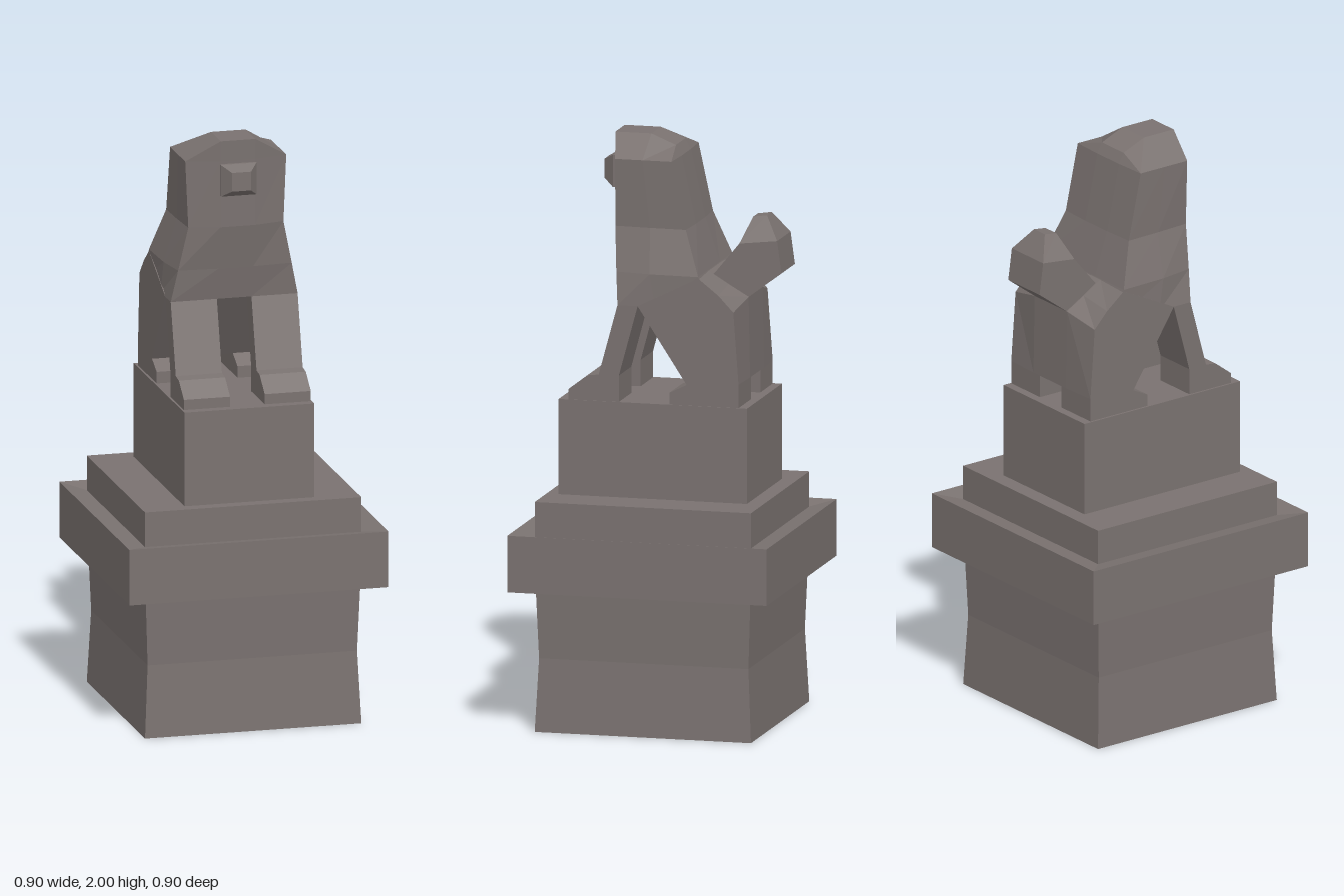
import * as THREE from 'three';

const stone = new THREE.MeshStandardMaterial({ color: 0x7a7270 });
stone.name = 'warm grey stone';

// Skin a list of equal-length rings (counter-clockwise seen from the last one), with flat facets and fan caps.
function loft(rings) {
  const pos = [];
  const tri = (...pts) => pts.forEach((p) => pos.push(...p));
  const n = rings[0].length;
  for (let r = 0; r < rings.length - 1; r++) {
    for (let i = 0; i < n; i++) {
      const j = (i + 1) % n;
      const [a, b, c, d] = [rings[r][i], rings[r][j], rings[r + 1][j], rings[r + 1][i]];
      tri(a, b, c);
      tri(a, c, d);
    }
  }
  const first = rings[0], last = rings[rings.length - 1];
  for (let i = 1; i < n - 1; i++) {
    tri(first[0], first[i + 1], first[i]);
    tri(last[0], last[i], last[i + 1]);
  }
  const g = new THREE.BufferGeometry();
  g.setAttribute('position', new THREE.Float32BufferAttribute(pos, 3));
  g.computeVertexNormals();
  return g;
}

// Half ring on the +x side, front to back, completed by its mirror image.
const mirrorRing = (half) => [...half, ...half.slice().reverse().map(([x, y, z]) => [-x, y, z])];

// Square tier made of [half width, height] steps.
const tier = (steps) => loft(steps.map(([w, y]) => mirrorRing([[w, y, w], [w, y, -w]])));

// Side outline of [z, y] points, extruded from x0 to x1.
function sideExtrude(points, x0, x1) {
  const shape = new THREE.Shape(points.map(([z, y]) => new THREE.Vector2(-z, y)));
  const g = new THREE.ExtrudeGeometry(shape, { depth: x1 - x0, bevelEnabled: false });
  return g.rotateY(Math.PI / 2).translate(x0, 0, 0);
}

export function createModel() {
  const model = new THREE.Group();
  model.name = 'lionStatue';
  const add = (name, geometry) => {
    const mesh = new THREE.Mesh(geometry, stone);
    mesh.name = name;
    model.add(mesh);
  };

  // Pedestal
  add('plinth', tier([[0.375, 0], [0.363, 0.25], [0.372, 0.487]]));
  add('corniceSlab', tier([[0.45, 0.487], [0.45, 0.68], [0.375, 0.665]]));
  add('step', tier([[0.375, 0.66], [0.375, 0.785]]));
  const block = new THREE.BoxGeometry(0.45, 0.325, 0.653);
  add('topBlock', block.translate(-0.002, 0.9475, 0.0065));

  // Chest, mane and head: front centre, front side, middle side, back side, back centre
  add('maneAndHead', loft([
    [[0.06, 1.44, 0.13], [0.22, 1.44, 0.13], [0.22, 1.44, 0.0], [0.22, 1.44, -0.2], [0.06, 1.44, -0.2]],
    [[0.06, 1.55, 0.15], [0.197, 1.55, 0.14], [0.215, 1.55, 0.02], [0.22, 1.55, -0.15], [0.06, 1.55, -0.15]],
    [[0.06, 1.7, 0.175], [0.165, 1.7, 0.152], [0.172, 1.7, 0.03], [0.175, 1.7, -0.095], [0.06, 1.7, -0.1]],
    [[0.06, 1.93, 0.178], [0.175, 1.93, 0.15], [0.175, 1.93, 0.055], [0.175, 1.93, -0.045], [0.06, 1.93, -0.05]],
    [[0.06, 2.0, 0.18], [0.06, 2.0, 0.18], [0.06, 2.0, 0.055], [0.06, 1.965, -0.03], [0.06, 1.965, -0.03]],
    [[0, 2.0, 0.18], [0, 2.0, 0.18], [0, 2.0, 0.055], [0, 1.965, -0.03], [0, 1.965, -0.03]],
  ].map(mirrorRing)));

  // Muzzle, lofted towards the front
  const muzzleRing = (w, y0, y1, z) => [[-w, y0, z], [w, y0, z], [w, y1, z], [-w, y1, z]];
  add('muzzle', loft([
    muzzleRing(0.062, 1.81, 1.92, 0.16),
    muzzleRing(0.062, 1.81, 1.92, 0.188),
    muzzleRing(0.033, 1.835, 1.9, 0.225),
  ]));

  // Haunches, with a fuller middle and cut-back rear corners
  const inner = [[0.06, 1.44], [-0.15, 1.548], [-0.22, 1.505], [-0.29, 1.465], [-0.295, 1.19], [-0.11, 1.18]];
  const outer = [[0.06, 1.44], [-0.15, 1.545], [-0.22, 1.49], [-0.272, 1.435], [-0.29, 1.19], [-0.11, 1.18]];
  add('haunches', loft([[0.22, outer], [0.09, inner], [-0.09, inner], [-0.22, outer]]
    .map(([x, outline]) => outline.map(([z, y]) => [x, y, z]))));

  // Legs and paws
  const frontLeg = [[0.3, 1.11], [0.3, 1.145], [0.235, 1.195], [0.195, 1.2], [0.13, 1.44],
    [0.06, 1.44], [0.125, 1.2], [0.125, 1.11]];
  const rearPaw = [[-0.05, 1.11], [-0.05, 1.15], [-0.11, 1.18], [-0.29, 1.19], [-0.29, 1.11]];
  for (const [side, x0] of [['left', 0.06], ['right', -0.22]]) {
    add(side + 'FrontLeg', sideExtrude(frontLeg, x0, x0 + 0.16));
    add(side + 'RearPaw', sideExtrude(rearPaw, x0, x0 + 0.16));
  }

  // Upturned tail tuft: half width, front [z, y], back [z, y]
  add('tail', loft([
    [0.087, [-0.16, 1.53], [-0.29, 1.465]],
    [0.087, [-0.175, 1.545], [-0.403, 1.55]],
    [0.087, [-0.257, 1.645], [-0.388, 1.66]],
    [0.03, [-0.29, 1.728], [-0.338, 1.735]],
  ].map(([w, [zf, yf], [zb, yb]]) => mirrorRing([[w, yf, zf], [w, yb, zb]]))));

  return model;
}
